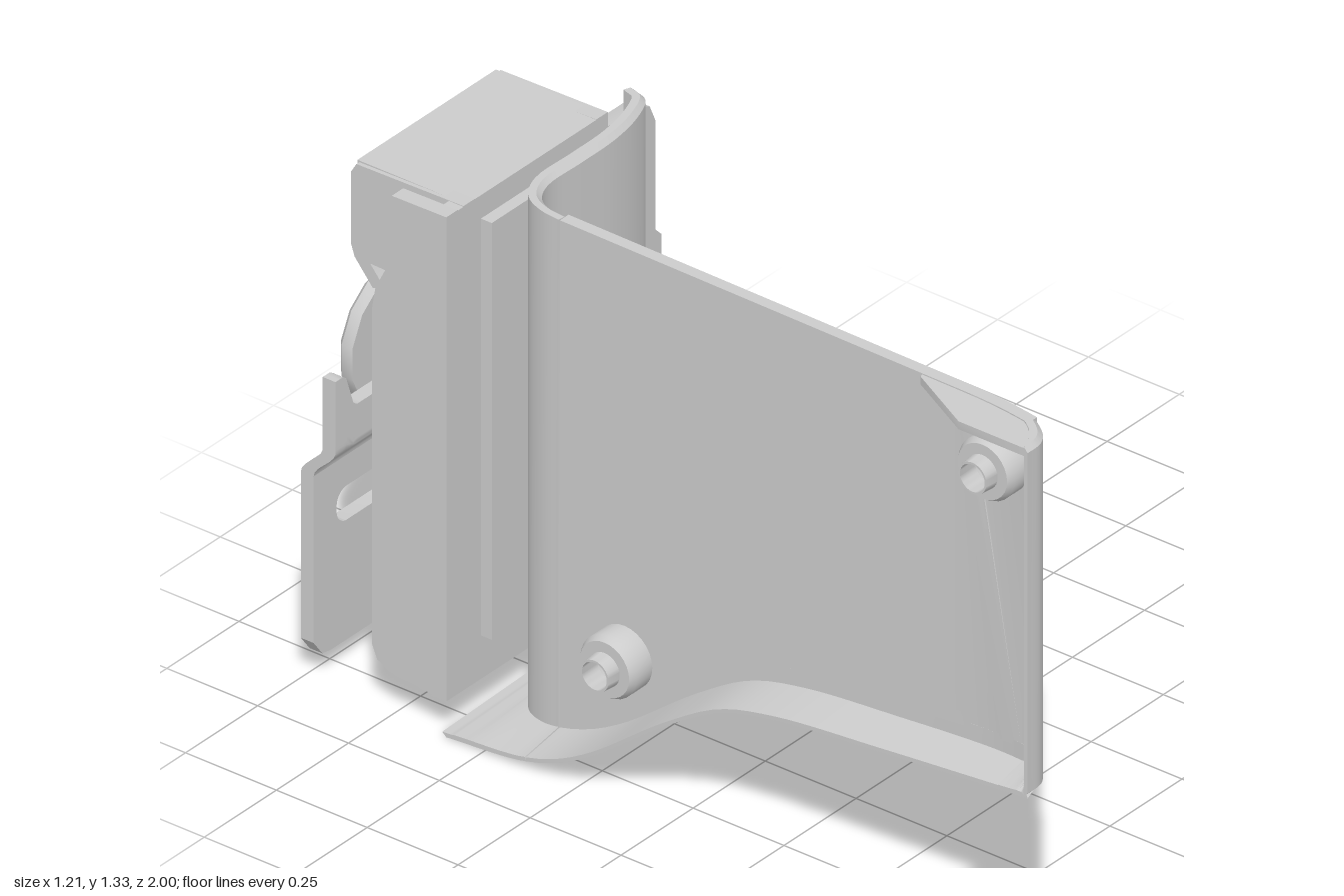
import * as THREE from 'three';
import { toCreasedNormals } from 'three/addons/utils/BufferGeometryUtils.js';

const TOP = 1.33, T = 0.03, R = 0.012;
const RIM = 0.01; // thickness of the lip at its free edge
const Z0 = 0.935, Z1 = -0.38; // ends of the side panel
const wallX = z => -0.458 - 0.013 * z - 0.45 * Math.max(0, z - 0.75) ** 2;

export function createModel() {
  const model = new THREE.Group();
  const mat = new THREE.MeshStandardMaterial({ color: 0xcccccc, side: THREE.DoubleSide });
  const add = (name, geo, x = 0, y = 0, z = 0) => {
    const m = new THREE.Mesh(toCreasedNormals(geo, 0.6), mat);
    m.name = name;
    m.position.set(x, y, z);
    model.add(m);
  };
  const shape = pts => new THREE.Shape(pts.map(p => new THREE.Vector2(...p)));
  const extrude = (s, depth) => new THREE.ExtrudeGeometry(s, { depth, bevelEnabled: false, curveSegments: 20 });
  const box = (name, x0, x1, y0, y1, z0, z1) =>
    add(name, new THREE.BoxGeometry(x1 - x0, y1 - y0, z1 - z0), (x0 + x1) / 2, (y0 + y1) / 2, (z0 + z1) / 2);

  // Lower edge height of the cover along its length
  const edge = new THREE.CatmullRomCurve3([[1, 0.448], [0.6, 0.413], [0.3, 0.382], [0.15, 0.343], [0, 0.253],
    [-0.2, 0.103], [-0.3, 0.048], [-0.4, 0.018], [-0.6, 0]].map(([z, y]) => new THREE.Vector3(z, y, 0))).getPoints(120);
  const bottom = z => {
    const i = Math.max(1, edge.findIndex(p => p.x <= z + 1e-6));
    const a = edge[i - 1], b = edge[i];
    return a.y + (b.y - a.y) * (z - a.x) / (b.x - a.x);
  };

  // Cover: plan outline swept with a wall, a bottom lip and rounded edges
  const loft = (name, pts, n, topOf) => {
    const curve = new THREE.CatmullRomCurve3(pts.map(([x, z]) => new THREE.Vector3(x, 0, z)));
    const pos = [], idx = [], K = 8;
    for (let i = 0; i <= n; i++) {
      const p = curve.getPoint(i / n), t = curve.getTangent(i / n);
      const b = bottom(p.z), top = topOf(b);
      const thick = Math.min(T, RIM + (p.x + 0.6) * 0.4);
      const put = (inset, y) => pos.push(Math.max(-0.6, p.x + t.z * inset), y, p.z - t.x * inset);
      pos.push(-0.6, b, p.z);
      put(R, b);
      put(0, b + R);
      put(0, top - R);
      put(R, top);
      put(thick, top);
      put(thick, b + T);
      pos.push(-0.6, b + RIM, p.z - t.x * thick);
      for (let j = 0; i < n && j < K; j++) {
        const a = i * K + j, c = i * K + (j + 1) % K;
        idx.push(a, a + K, c + K, a, c + K, c);
      }
    }
    // End caps: lip strip and wall strip
    const caps = [[0, 1, 6], [0, 6, 7], [1, 2, 6], [2, 3, 6], [3, 5, 6], [3, 4, 5]];
    for (const [a, b, c] of caps) idx.push(a, b, c, n * K + a, n * K + c, n * K + b);
    const g = new THREE.BufferGeometry();
    g.setAttribute('position', new THREE.Float32BufferAttribute(pos, 3));
    g.setIndex(idx);
    g.computeVertexNormals();
    add(name, g);
  };
  const sidePath = [Z0, 0.85, 0.75, 0.4, 0, Z1].map(z => [wallX(z), z]);
  loft('coverNose', [[-0.6, 1], [-0.555, 0.998], [-0.525, 0.983], [-0.503, 0.96], sidePath[0]], 20, () => TOP);
  loft('coverLip', sidePath, 60, b => b + 0.06 + R);
  loft('coverFlange', [sidePath.at(-1), [-0.447, -0.43], [-0.425, -0.475], [-0.37, -0.503], [-0.25, -0.505],
    [-0.13, -0.508], [-0.03, -0.527], [0.04, -0.56], [0.056, -0.6]], 40, () => TOP);

  // Side panel in two stretches, each with a screw hole
  const holes = [[0.855, 1.205, Z0, 0.72], [-0.2, 0.3, 0.72, Z1]];
  for (const [hz, hy, za, zb] of holes) {
    const low = [], high = [];
    for (let i = 0; i <= 30; i++) {
      const z = za + (zb - za) * i / 30;
      low.push([-z, bottom(z) + 0.06]);
      high.unshift([-z, TOP]);
    }
    const panel = shape([...low, ...high]);
    panel.holes.push(new THREE.Path().absarc(-hz, hy, 0.072, 0, Math.PI * 2));
    const g = extrude(panel, T).rotateY(Math.PI / 2);
    const p = g.attributes.position;
    for (let i = 0; i < p.count; i++) p.setX(i, p.getX(i) - T + wallX(p.getZ(i)));
    add('coverPanel', g);
  }

  // Hollow screw bosses behind the holes
  const bossProfile = [[0.072, 0], [0.064, -0.08], [0.036, -0.08], [0.034, -0.135], [0.039, -0.135],
    [0.042, -0.1], [0.068, -0.1], [0.077, -0.085], [0.077, -0.02]].map(p => new THREE.Vector2(...p));
  for (const [z, y] of holes) {
    add('screwBoss', new THREE.LatheGeometry(bossProfile, 28).rotateZ(-Math.PI / 2), wallX(z), y, z);
  }

  // Corner gusset under the cover's top edge
  const gusset = shape([[-0.6, 0.99], [-0.555, 0.985], [-0.515, 0.955], [-0.49, 0.9], [-0.475, 0.62], [-0.505, 0.63], [-0.6, 0.81]]);
  add('topGusset', extrude(gusset, 0.02).rotateX(Math.PI / 2), 0, TOP - 0.003, 0);

  // Bracket channel: front wall, two unlike cheeks and their turned-in back flanges
  const profile = (name, pts, x0, x1) => add(name, extrude(shape(pts), x1 - x0).rotateY(Math.PI / 2), x0, 0, 0);
  const strip = pts => [...pts, ...pts.map(([u, v]) => [u - 0.035, v + 0.008]).reverse()];
  const foot = [[0.6, 0.09], [0.75, 0.105], [0.79, 0.125], [0.805, 0.16]];
  const neck = [[0.805, 0.85], [0.82, 0.95], [0.85, 1.01], [0.9, 1.07], [0.91, 1.1]];
  const crown = [[0.91, 1.28], [0.895, 1.305], [0.6, 1.31]];
  profile('rightCheek', [...foot, ...neck, ...crown], -0.08, -0.04);
  profile('leftCheek', [...foot, [0.805, 1.0], [0.795, 1.06], [0.765, 1.12], [0.752, 1.18], [0.75, 1.308], [0.6, 1.31]], -0.6, -0.56);
  profile('rightFlange', strip([foot[3], ...neck]), -0.13, -0.04);
  profile('leftFlange', strip([foot[3], [0.805, 1.0]]), -0.6, -0.54);
  profile('crownSide', [[0.6, 1.06], ...neck.slice(3), ...crown], -0.54, -0.5);
  box('bracketFront', -0.6, -0.04, 0.09, 1.308, -0.64, -0.6);
  box('crownTop', -0.53, -0.05, 1.26, 1.309, -0.9, -0.6);
  profile('crownBack', strip([...neck.slice(2), [0.91, 1.28]]), -0.54, -0.04);
  box('bracketPad', -0.48, -0.16, 0.2, 1.25, -0.6, -0.57);
  box('latchBlock', -0.42, -0.22, 0.7, 0.97, -0.83, -0.7);
  box('bracketWeb', -0.56, -0.07, 0.4, 0.62, -0.8, -0.76);

  // Clamp knob on its shaft, and the locating pin below
  const rod = (name, r0, r1, z0, z1, y, n) =>
    add(name, new THREE.CylinderGeometry(r1, r0, z0 - z1, n).rotateX(-Math.PI / 2), -0.32, y, (z0 + z1) / 2);
  rod('knobShaft', 0.076, 0.076, -0.78, -0.95, 0.757, 24);
  rod('knob', 0.175, 0.175, -0.945, -0.975, 0.757, 14);
  rod('knobFace', 0.175, 0.155, -0.975, -0.992, 0.757, 14);
  rod('locatingPin', 0.062, 0.062, -0.76, -0.85, 0.49, 24);
  rod('pinShoulder', 0.062, 0.042, -0.85, -0.87, 0.49, 24);
  rod('pinTip', 0.04, 0.04, -0.86, -0.935, 0.49, 20);

  // Mounting plate with rounded slots
  const plate = shape([[-0.6, 0.1], [-0.57, 0.06], [-0.54, 0.055], [0.52, 0.055], [0.565, 0.07], [0.585, 0.115],
    [0.585, 0.31], [0.605, 0.33], [0.605, 0.56], [0.585, 0.58], [0.585, 0.855], [0.565, 0.9], [0.52, 0.918],
    [0.1, 0.918], [0.1, 0.52], [-0.6, 0.52]]);
  for (const [x, y] of [[0.265, 0.797], [0.39, 0.178], [-0.41, 0.4]]) {
    const w = 0.11, h = 0.043, r = 0.035, slot = new THREE.Path();
    slot.absarc(x + w - r, y + h - r, r, 0, Math.PI / 2);
    slot.absarc(x - w + r, y + h - r, r, Math.PI / 2, Math.PI);
    slot.absarc(x - w + r, y - h + r, r, Math.PI, Math.PI * 1.5);
    slot.absarc(x + w - r, y - h + r, r, Math.PI * 1.5, Math.PI * 2);
    plate.holes.push(slot);
  }
  add('mountingPlate', extrude(plate, 0.035), 0, 0, -1);

  // Stepped corner of the plate: smooth ramps and a dip in its top edge around the knob
  const seat = new THREE.BoxGeometry(0.7, 1, 0.035, 56, 24, 1).translate(-0.25, 0.5, -0.9825);
  const sp = seat.attributes.position;
  const step = THREE.MathUtils.smoothstep;
  for (let i = 0; i < sp.count; i++) {
    const x = sp.getX(i);
    const dip = step(x, -0.57, -0.53) * (1 - step(x, -0.2, -0.12));
    const top = THREE.MathUtils.lerp(x < -0.4 ? 0.78 : 0.915, 0.69, dip);
    const y = 0.52 + sp.getY(i) * (top - 0.52);
    const rise = (1 - step(x, -0.07, 0.09)) * step(y, 0.52, 0.6);
    sp.setXYZ(i, x, y, sp.getZ(i) + 0.06 * rise);
  }
  add('plateSeat', seat);

  return model;
}
